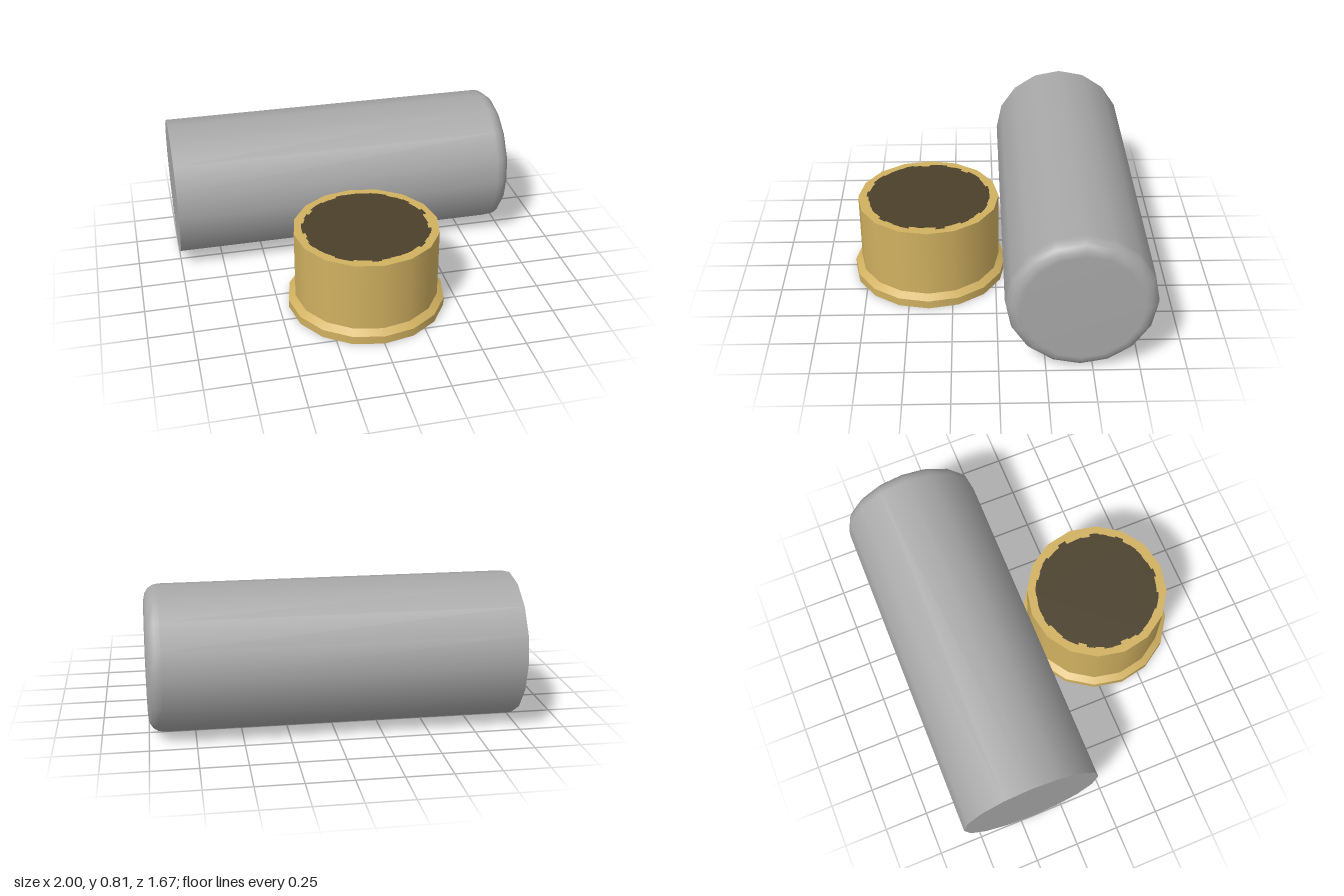
import * as THREE from 'three';

const SIDES = 16;

const material = (name, color) => {
  const m = new THREE.MeshStandardMaterial({ color });
  m.name = name;
  return m;
};

// Turned section from [radius, height] points, listed from bottom to top
function turned(name, points, mat) {
  const profile = points.map(([r, y]) => new THREE.Vector2(r, y));
  const mesh = new THREE.Mesh(new THREE.LatheGeometry(profile, SIDES), mat);
  mesh.name = name;
  return mesh;
}

// Thin plate with a ragged, stepped rim
function raggedDisc(name, radius, ragged, steps, mat) {
  const shape = new THREE.Shape();
  let seed = 7;
  for (let i = 0; i < steps; i++) {
    seed = (seed * 16807) % 2147483647;
    const r = radius + ragged * (seed / 2147483647 - 0.5) * 2;
    for (const k of [i, i + 1]) {
      const a = (k / steps) * Math.PI * 2;
      const p = [Math.cos(a) * r, Math.sin(a) * r];
      if (i === 0 && k === 0) shape.moveTo(...p);
      else if (!(i === steps - 1 && k === steps)) shape.lineTo(...p);
    }
  }
  const geo = new THREE.ExtrudeGeometry(shape, { depth: 0.003, bevelEnabled: false });
  geo.rotateX(-Math.PI / 2);
  const mesh = new THREE.Mesh(geo, mat);
  mesh.name = name;
  return mesh;
}

export function createModel() {
  const brass = material('brass', 0xd1b161);
  const steel = material('steel grey', 0xa8a8a8);
  const dark = material('dark filling', 0x4b402b);

  const model = new THREE.Group();
  model.name = 'cartridgeParts';

  // Upright brass cup with a flanged foot; each section keeps crisp edges
  const cup = new THREE.Group();
  cup.name = 'cup';
  cup.position.z = 0.387;
  cup.add(
    turned('cupBase', [[0, 0], [0.447, 0]], brass),
    turned('flangeRim', [[0.447, 0], [0.447, 0.048]], brass),
    turned('flangeSlope', [[0.447, 0.048], [0.408, 0.075]], brass),
    turned('cupWall', [[0.408, 0.075], [0.408, 0.48]], brass),
    turned('cupTop', [[0.408, 0.48], [0, 0.48]], brass),
  );
  const filling = raggedDisc('filling', 0.352, 0.012, 44, dark);
  filling.position.y = 0.479;
  const baseSpot = raggedDisc('baseSpot', 0.155, 0.008, 28, steel);
  baseSpot.position.y = -0.001;
  cup.add(filling, baseSpot);
  model.add(cup);

  // Grey cylinder lying along x, with one rounded end
  const R = 0.4, bevel = 0.08;
  const body = [[R, -1], [R, 1 - bevel]];
  for (let i = 1; i <= 4; i++) {
    const a = (i / 4) * Math.PI / 2;
    body.push([R - bevel + Math.cos(a) * bevel, 1 - bevel + Math.sin(a) * bevel]);
  }
  body.push([0, 1]);
  const slug = new THREE.Group();
  slug.name = 'slug';
  slug.add(
    turned('slugBody', body, steel),
    turned('slugFlatEnd', [[0, -1], [R, -1]], steel),
  );
  slug.rotation.z = -Math.PI / 2;
  slug.position.set(0, 0.404, -0.432);
  model.add(slug);

  return model;
}
